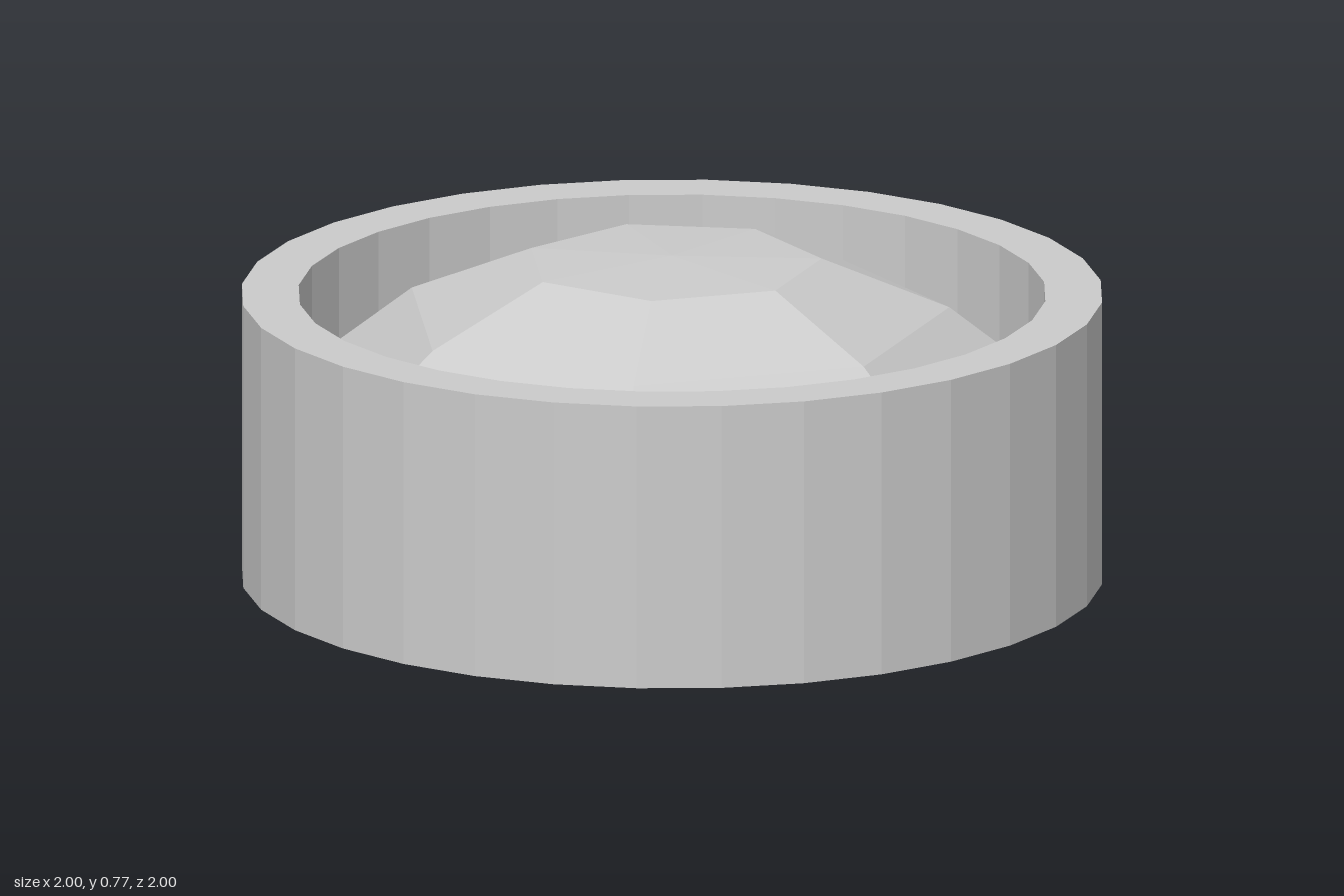
import * as THREE from 'three';

// Revolves a closed [radius, height] profile with a corner pointing to the back (-z)
function revolve(name, profile, sides) {
  const points = profile.map(([r, y]) => new THREE.Vector2(r, y));
  const material = new THREE.MeshStandardMaterial({
    color: 0xcccccc, flatShading: true, side: THREE.DoubleSide,
  });
  const mesh = new THREE.Mesh(new THREE.LatheGeometry(points, sides, Math.PI), material);
  mesh.name = name;
  return mesh;
}

export function createModel() {
  const group = new THREE.Group();
  group.name = 'domedRing';

  // Thick outer ring, open through the middle
  group.add(revolve('outerRing', [
    [1, 0], [1, 0.677], [0.868, 0.677], [0.868, 0], [1, 0],
  ], 32));

  // Seven-sided faceted dome shell: outside up to the apex, then back down the inside;
  // its rim is buried in the ring
  group.add(revolve('facetedDome', [
    [0.965, 0.06], [0.965, 0.21], [0.87, 0.45], [0.645, 0.628], [0.348, 0.752], [0, 0.767],
    [0, 0.698], [0.317, 0.684], [0.587, 0.571], [0.79, 0.41], [0.868, 0.19], [0.965, 0.06],
  ], 7));

  return group;
}
